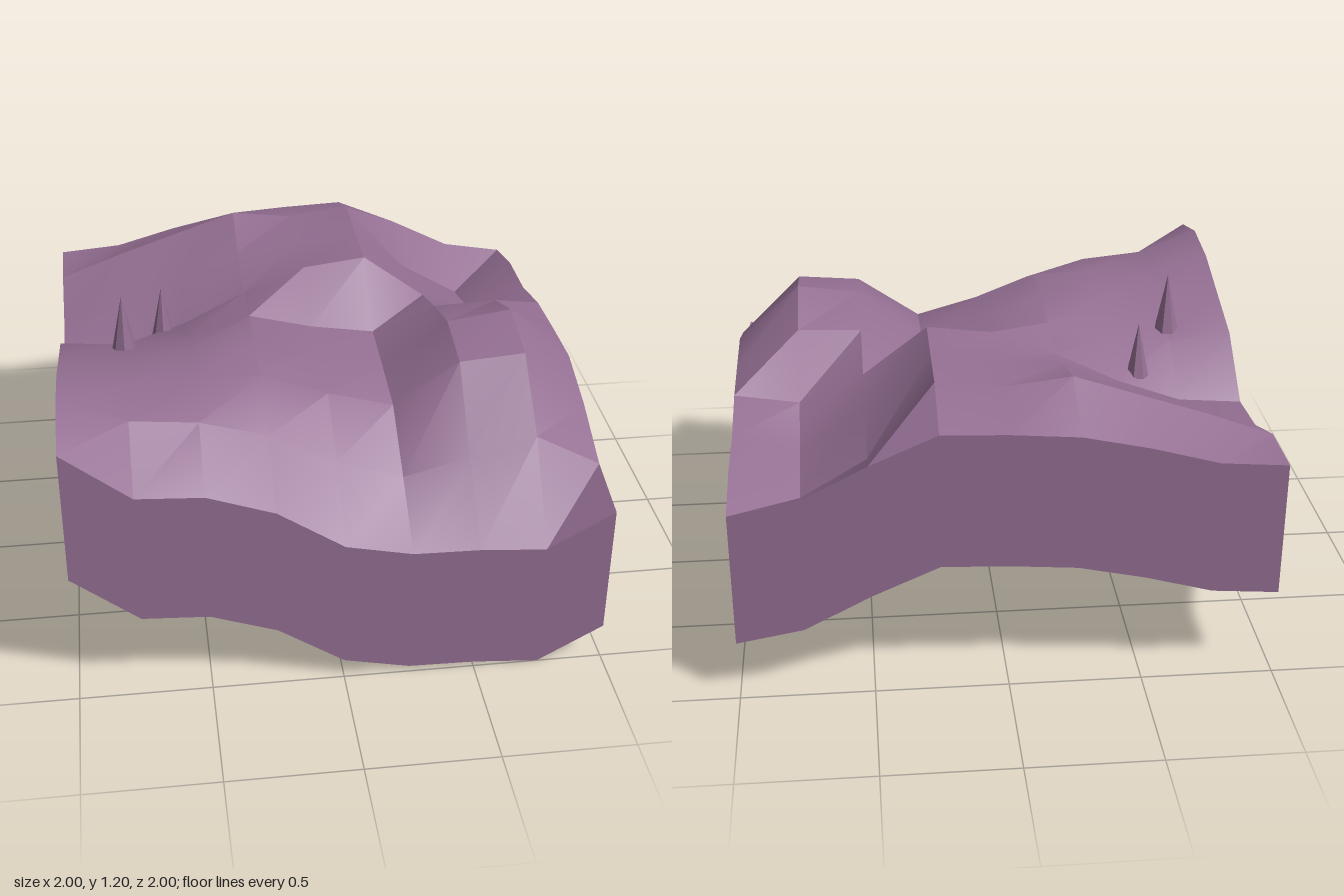
import * as THREE from 'three';
import { toCreasedNormals } from 'three/addons/utils/BufferGeometryUtils.js';

// Ground heights: rows run from back (z = -1) to front (z = 1), columns from x = -1 to 1
const HEIGHTS = [
  [0.885, 0.905, 0.975, 1.03, 1.05, 1.06, 0.95, 0.82, 0.775],
  [0.885, 0.98, 1.065, 1.15, 1.12, 1.147, 0.85, 0.70, 0.83],
  [0.80, 0.885, 0.975, 1.085, 1.11, 1.145, 0.93, 0.76, 0.835],
  [0.78, 0.80, 0.893, 1.02, 1.12, 1.15, 0.96, 0.85, 0.89],
  [0.972, 0.95, 0.97, 1.045, 0.98, 0.94, 1.04, 1.05, 0.905],
  [1.045, 1.03, 1.05, 1.06, 0.98, 0.92, 1.105, 1.14, 0.915],
  [1.12, 1.068, 1.068, 1.06, 0.965, 0.895, 1.066, 1.086, 0.84],
  [1.147, 1.055, 1.03, 0.955, 0.82, 0.732, 0.80, 0.87, 0.73],
  [1.09, 0.89, 0.875, 0.785, 0.615, 0.56, 0.555, 0.535, 0.68],
];
const N = HEIGHTS.length - 1;
const STEP = 2 / N;
const SKIRT_DEPTH = 0.53;

const groundPoint = (col, row) => [-1 + col * STEP, HEIGHTS[row][col], -1 + row * STEP];

// Rolling ground surface
function terrainGeometry() {
  const geo = new THREE.PlaneGeometry(2, 2, N, N);
  geo.rotateX(-Math.PI / 2);
  const pos = geo.attributes.position;
  for (let row = 0; row <= N; row++) {
    for (let col = 0; col <= N; col++) {
      pos.setY(row * (N + 1) + col, HEIGHTS[row][col]);
    }
  }
  return toCreasedNormals(geo, 0.42);
}

// Flat wall hanging from one border of the ground; cell(i) gives its column and row
function skirtGeometry(cell) {
  const positions = [];
  const index = [];
  for (let i = 0; i <= N; i++) {
    const [x, y, z] = groundPoint(...cell(i));
    positions.push(x, y, z, x, y - SKIRT_DEPTH, z);
    if (i < N) {
      const a = i * 2;
      index.push(a, a + 1, a + 2, a + 1, a + 3, a + 2);
    }
  }
  const geo = new THREE.BufferGeometry();
  geo.setAttribute('position', new THREE.Float32BufferAttribute(positions, 3));
  geo.setIndex(index);
  geo.computeVertexNormals();
  return geo;
}

export function createModel() {
  const model = new THREE.Group();
  model.name = 'terrainTile';

  const earth = new THREE.MeshStandardMaterial({ color: 0x946f93, side: THREE.DoubleSide });
  earth.name = 'mauve earth';

  const add = (name, geometry) => {
    const mesh = new THREE.Mesh(geometry, earth);
    mesh.name = name;
    model.add(mesh);
    return mesh;
  };

  add('ground', terrainGeometry());

  // Skirts on the four sides, each running left to right as seen from outside
  add('frontSkirt', skirtGeometry((i) => [i, N]));
  add('rightEdgeSkirt', skirtGeometry((i) => [N, N - i]));
  add('backSkirt', skirtGeometry((i) => [N - i, 0]));
  add('leftEdgeSkirt', skirtGeometry((i) => [0, i]));

  // Pointed rock spikes standing in the hollow
  const spikes = [
    { x: -0.75, z: 0.08, base: 0.955, height: 0.252, radius: 0.052 },
    { x: -0.59, z: -0.175, base: 0.88, height: 0.222, radius: 0.046 },
  ];
  spikes.forEach(({ x, z, base, height, radius }, i) => {
    const cone = new THREE.ConeGeometry(radius, height, 7).toNonIndexed();
    cone.computeVertexNormals();
    add(`spike${i + 1}`, cone).position.set(x, base + height / 2, z);
  });

  return model;
}
